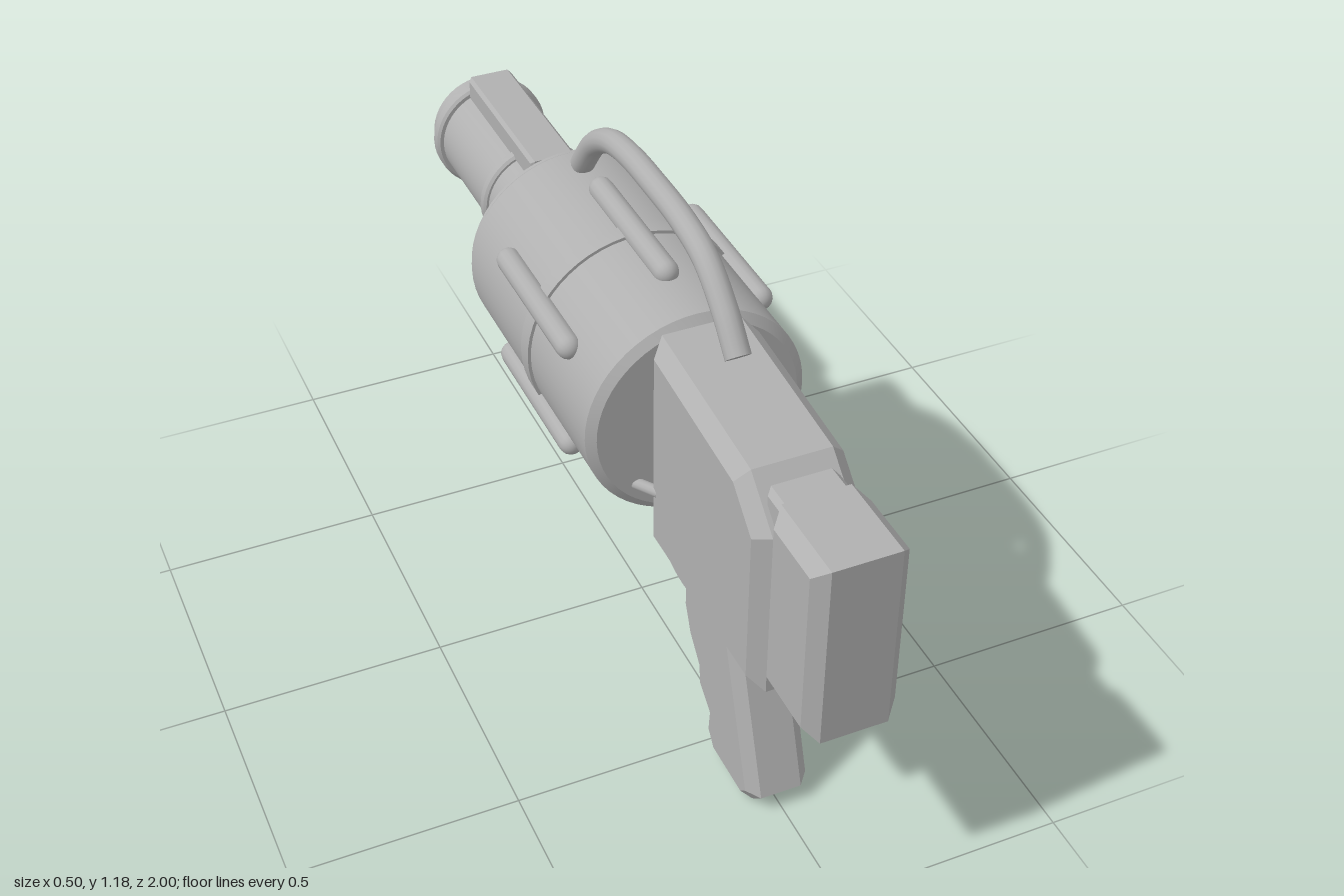
import * as THREE from 'three';
import { toCreasedNormals, mergeVertices } from 'three/addons/utils/BufferGeometryUtils.js';

const AXIS = 0.725; // height of the drum and barrel axis

export function createModel() {
  const group = new THREE.Group();
  const grey = new THREE.MeshStandardMaterial({ color: 0xb0b0b0 });
  grey.name = 'grey';

  const add = (name, geometry, x = 0, y = 0, z = 0) => {
    const mesh = new THREE.Mesh(geometry, grey);
    mesh.name = name;
    mesh.position.set(x, y, z);
    group.add(mesh);
    return mesh;
  };

  // Side profile of [z, y] points, extruded across x with a flat bevel
  const slab = (name, points, width, bevel, smooth = false) => {
    const v = points.map(([z, y]) => new THREE.Vector2(z, y));
    const shape = smooth ? new THREE.Shape().setFromPoints(new THREE.SplineCurve(v).getPoints(40)) : new THREE.Shape(v);
    const g = new THREE.ExtrudeGeometry(shape, {
      depth: width - 2 * bevel, bevelEnabled: bevel > 0, bevelThickness: bevel,
      bevelSize: bevel, bevelOffset: -bevel, bevelSegments: 1,
    });
    g.translate(0, 0, bevel - width / 2).rotateY(-Math.PI / 2);
    return add(name, toCreasedNormals(g, 0.4));
  };
  const rect = (z0, z1, y0, y1) => [[z0, y0], [z1, y0], [z1, y1], [z0, y1]];

  // Profile of [radius, z] points, turned round the barrel axis
  const turned = (name, points, segments = 48) => {
    const g = new THREE.LatheGeometry(points.map(([r, z]) => new THREE.Vector2(r, z)), segments);
    return add(name, toCreasedNormals(g.rotateX(Math.PI / 2), 0.5), 0, AXIS, 0);
  };
  const ring = (name, r, z0, z1, b = 0.006) =>
    turned(name, [[0.1, z0], [r - b, z0], [r, z0 + b], [r, z1 - b], [r - b, z1], [0.1, z1]]);

  // Body, butt pad and the neck between them
  slab('body', [[0.295, 0.435], [0.8, 0.435], [0.8, 0.83], [0.7, 0.92], [0.295, 0.955]], 0.23, 0.03);
  slab('stockNeck', rect(0.74, 0.83, 0.5, 0.905), 0.15, 0.012);
  slab('buttPad', rect(0.8, 1.0, 0.48, 0.91), 0.2, 0.028);

  // Pistol grip with finger notches
  slab('grip', [[0.59, 0.45], [0.73, 0.04], [0.69, 0], [0.535, 0], [0.495, 0.05], [0.5, 0.1],
    [0.45, 0.14], [0.445, 0.19], [0.4, 0.24], [0.37, 0.31], [0.37, 0.45]], 0.14, 0.024);

  // Trigger and its guard
  slab('trigger', [[0.275, 0.435], [0.27, 0.39], [0.24, 0.335], [0.235, 0.365], [0.25, 0.39], [0.225, 0.435]], 0.035, 0.004);
  const outer = [[0.39, 0.265], [0.28, 0.25], [0.2, 0.265], [0.14, 0.31], [0.115, 0.37], [0.112, 0.435]];
  const inner = [[0.168, 0.435], [0.165, 0.385], [0.185, 0.335], [0.23, 0.305], [0.29, 0.3], [0.39, 0.325]];
  const spline = (pts) => new THREE.SplineCurve(pts.map((p) => new THREE.Vector2(...p))).getPoints(16).map((p) => [p.x, p.y]);
  slab('triggerGuard', [...spline(outer), ...spline(inner)], 0.05, 0.008);

  // Drum with a recessed rear floor
  turned('drum', [[0, -0.36], [0.239, -0.36], [0.239, -0.4], [0.245, -0.39], [0.245, 0.275],
    [0.225, 0.29], [0, 0.29]], 56);
  turned('drumBand', [[0.24, -0.065], [0.252, -0.065], [0.252, -0.025], [0.24, -0.025]], 56);

  // Plate pierced by eight chambers
  const plate = new THREE.Shape().absarc(0, 0, 0.239, 0, Math.PI * 2);
  for (let i = 0; i < 8; i++) {
    const a = (i * Math.PI) / 4;
    plate.holes.push(new THREE.Path().absarc(0.182 * Math.cos(a), 0.182 * Math.sin(a), 0.055, 0, Math.PI * 2, true));
  }
  const plateGeo = new THREE.ExtrudeGeometry(plate, { depth: 0.05, bevelEnabled: false, curveSegments: 28 });
  add('chamberPlate', toCreasedNormals(plateGeo, 0.5), 0, AXIS, -0.408);

  // Six rounded ribs along the drum
  for (let i = 0; i < 6; i++) {
    const a = Math.PI / 6 + (i * Math.PI) / 3;
    const rib = new THREE.CapsuleGeometry(0.027, 0.341, 6, 14).rotateX(Math.PI / 2);
    add('drumRib', rib, 0.25 * Math.cos(a), AXIS + 0.25 * Math.sin(a), -0.0475);
  }

  // Small pins joining drum and body
  for (const s of [-1, 1]) {
    const pin = new THREE.CylinderGeometry(0.013, 0.013, 0.07, 12);
    add('pin', pin, s * 0.125, 0.585, 0.302).rotation.set(Math.PI / 2, 0, s * 0.6);
  }

  // Barrel with an open muzzle
  turned('barrel', [[0, -0.93], [0.085, -0.93], [0.085, -0.995], [0.09, -1.0], [0.112, -1.0],
    [0.126, -0.988], [0.126, -0.965], [0.12, -0.958], [0.125, -0.95], [0.125, -0.36], [0, -0.36]]);
  ring('muzzleRing', 0.14, -0.955, -0.92);
  ring('barrelRing', 0.136, -0.637, -0.607);
  slab('topRail', rect(-0.92, -0.5, 0.835, 0.895), 0.108, 0.008);

  // Carrying handle
  const path = new THREE.CatmullRomCurve3([[0.463, 0.99], [0.4, 1.058], [0.31, 1.122], [0.2, 1.146], [0.06, 1.15],
    [-0.06, 1.146], [-0.16, 1.125], [-0.25, 1.07], [-0.325, 0.98]].map(([z, y]) => new THREE.Vector3(0, y, z)));
  add('handle', new THREE.TubeGeometry(path, 40, 0.027, 14));
  for (const t of [0, 1]) {
    const cap = add('handleCap', new THREE.CircleGeometry(0.027, 14), ...path.getPointAt(t).toArray());
    const out = path.getTangentAt(t).multiplyScalar(t ? 1 : -1);
    cap.quaternion.setFromUnitVectors(new THREE.Vector3(0, 0, 1), out);
  }

  return group;
}
